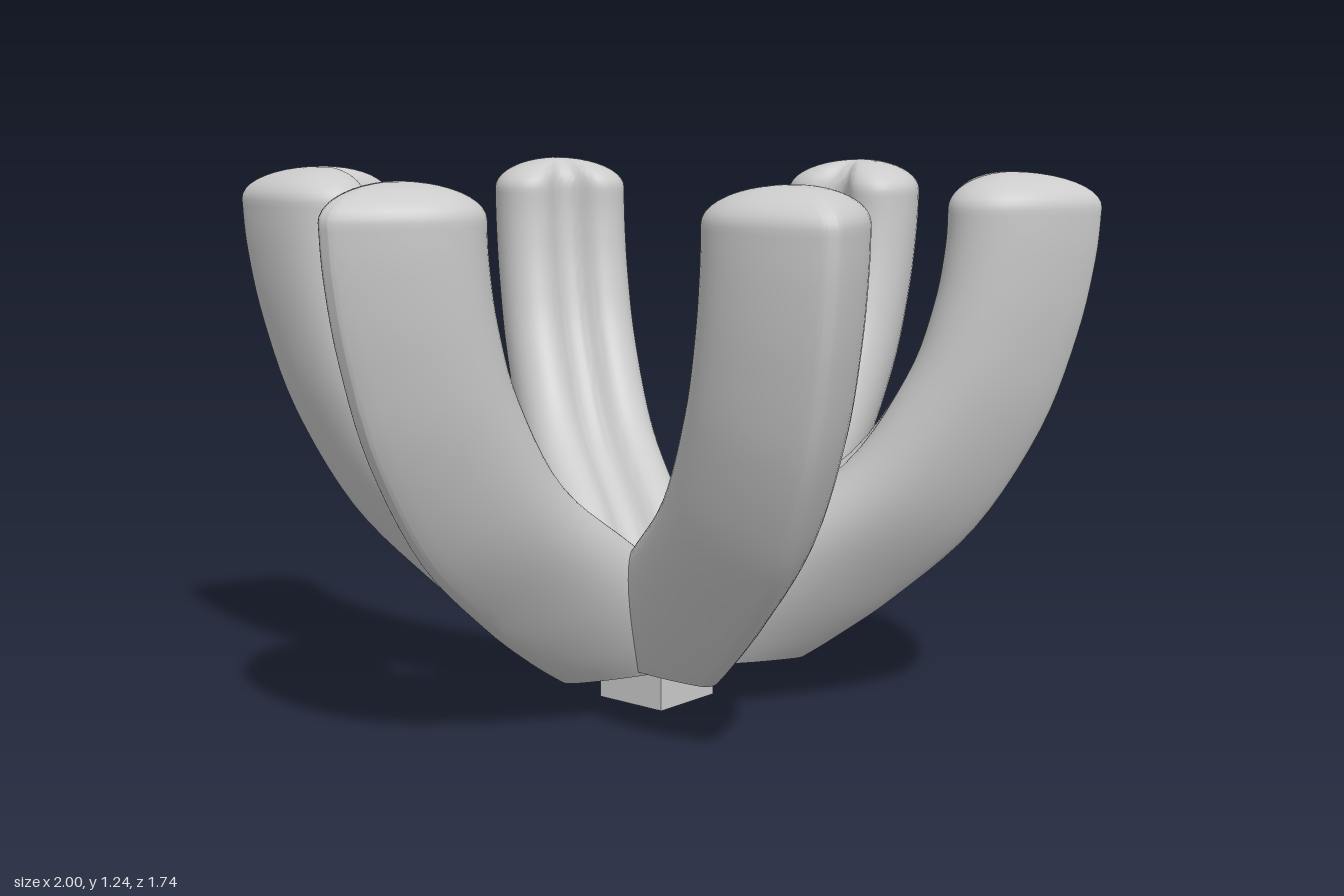
import * as THREE from 'three';
import { toCreasedNormals } from 'three/addons/utils/BufferGeometryUtils.js';

const DEPTH = 0.333, RIM = 1.165, DOME = 0.077, CENTRE = 0.4;

// Heart cross-section: x = 0 (lobes) to 1 (pointed edge), y = sideways offset
function heartOutline() {
  const s = new THREE.Shape();
  s.moveTo(1, 0);
  s.quadraticCurveTo(1, 0.012, 0.968, 0.026);
  s.bezierCurveTo(0.83, 0.085, 0.54, 0.17, 0.3, 0.17);
  s.bezierCurveTo(0.1, 0.17, 0, 0.13, 0, 0.09);
  s.bezierCurveTo(0, 0.045, 0.13, 0.04, 0.13, 0);
  const half = s.getPoints(10);
  const mirrored = half.slice(1, -1).reverse().map((p) => new THREE.Vector2(p.x, -p.y));
  return [...half, ...mirrored];
}

const rail = (points) => new THREE.SplineCurve(points.map(([x, y]) => new THREE.Vector2(x, y)));

// One arm along +x: hearts stretched between an outer and an inner rail, with a domed end
function armGeometry(footX, footY) {
  const outer = rail([[footX, footY], [0.42, 0.16], [0.56, 0.265], [0.74, 0.435],
    [0.88, 0.665], [0.955, 0.88], [0.99, 1.05], [1, RIM]]);
  const inner = rail([[-0.2, 0.12], [-0.07, 0.215], [0.2, 0.41], [0.445, 0.585],
    [0.583, 0.79], [0.64, 0.95], [0.663, 1.08], [1 - DEPTH, RIM]]);
  const heart = heartOutline();
  const n = heart.length;
  const pos = [], index = [];

  const addRing = (t, scale, lift) => {
    const o = outer.getPoint(t), i = inner.getPoint(t);
    for (const p of heart) {
      const u = CENTRE + (p.x - CENTRE) * scale;
      pos.push(i.x + (o.x - i.x) * u, i.y + (o.y - i.y) * u + lift, p.y * scale);
    }
  };

  addRing(0, 0, 0); // closed foot
  const steps = 35, domeSteps = 10;
  for (let j = 0; j <= steps; j++) addRing(j / steps, 1, 0);
  for (let j = 1; j <= domeSteps; j++) {
    const a = (j / domeSteps) * Math.PI / 2;
    addRing(1, Math.cos(a), DOME * Math.sin(a));
  }

  const rings = pos.length / 3 / n;
  for (let j = 0; j < rings - 1; j++) {
    for (let k = 0; k < n; k++) {
      const a = j * n + k, b = j * n + (k + 1) % n;
      index.push(a, a + n, b, b, a + n, b + n);
    }
  }
  const g = new THREE.BufferGeometry();
  g.setAttribute('position', new THREE.Float32BufferAttribute(pos, 3));
  g.setIndex(index);
  return toCreasedNormals(g, 0.6);
}

export function createModel() {
  const group = new THREE.Group();
  const material = new THREE.MeshStandardMaterial({ color: 0xcccccc });

  // Six arms; the side pair has slightly lower feet
  const sideArm = armGeometry(0.32, 0.097);
  const diagonalArm = armGeometry(0.35, 0.113);
  for (let i = 0; i < 6; i++) {
    const arm = new THREE.Mesh(i % 3 === 0 ? sideArm : diagonalArm, material);
    arm.name = `arm${i + 1}`;
    arm.rotation.y = i * Math.PI / 3;
    group.add(arm);
  }

  // Square peg under the hub
  const peg = new THREE.Mesh(new THREE.BoxGeometry(0.19, 0.19, 0.19), material);
  peg.name = 'peg';
  peg.position.y = 0.095;
  group.add(peg);

  return group;
}
